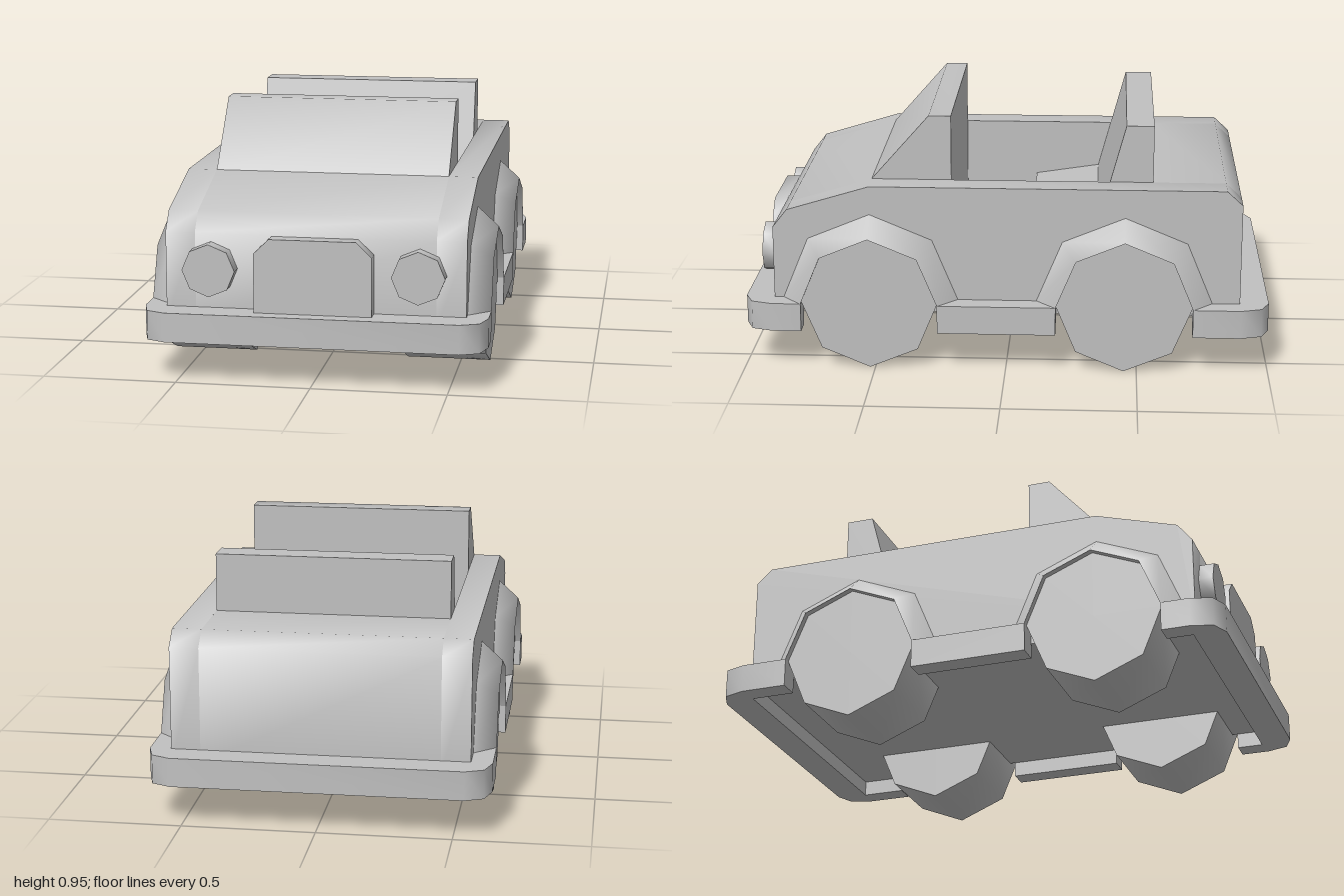
import * as THREE from 'three';
import { toCreasedNormals } from 'three/addons/utils/BufferGeometryUtils.js';

const CREASE = 0.96; // keeps right angles sharp, softens chamfers
const HALF = 0.555, INNER = 0.445; // half widths of the body and the cockpit
const BASE = 0.26; // top of the bumper rim, also the axle height
const RADIUS = 0.26;

export function createModel() {
  const car = new THREE.Group();
  car.name = 'car';
  const grey = new THREE.MeshStandardMaterial({ color: 0xc0c0c0 });
  grey.name = 'grey';

  function add(name, geometry, x = 0, y = 0, z = 0) {
    const mesh = new THREE.Mesh(toCreasedNormals(geometry, CREASE), grey);
    mesh.name = name;
    mesh.position.set(x, y, z);
    car.add(mesh);
    return mesh;
  }
  function extrude(points, depth) {
    const shape = new THREE.Shape(points.map(([a, b]) => new THREE.Vector2(a, b)));
    return new THREE.ExtrudeGeometry(shape, { depth, bevelEnabled: false });
  }
  // Side profile in (z, y), extruded across x and centred on it
  const across = (points, width) =>
    extrude(points, width).translate(0, 0, -width / 2).rotateY(-Math.PI / 2);
  // Plan outline in (x, z), extruded downwards
  const down = (points, height) => extrude(points, height).rotateX(Math.PI / 2);

  // Body: a core with the cockpit cut out, closed by two side walls
  const front = [[0.89, 0.21], [0.89, 0.54], [0.835, 0.61], [0.52, 0.705]];
  const back = [[-0.83, 0.705], [-0.89, 0.65], [-0.89, 0.21]];
  const cockpit = [[0.215, 0.705], [0.215, 0.3], [-0.555, 0.3], [-0.555, 0.705]];
  add('bodyCore', across([...front, ...cockpit, ...back], 2 * INNER));
  for (const s of [-1, 1]) {
    add('bodySide', across([...front, ...back], HALF - INNER), s * (HALF + INNER) / 2);
  }

  // Windscreen and seat
  add('windscreen', across(
    [[0.52, 0.705], [0.3, 0.955], [0.215, 0.955], [0.215, 0.705]], 2 * INNER));
  add('seat', across([[-0.555, 0.3], [-0.555, 0.925], [-0.45, 0.925], [-0.34, 0.52],
    [-0.08, 0.48], [-0.08, 0.3]], 2 * INNER));

  // Bumpers wrap around the corners up to the wheel openings
  const bumper = (end, s) => {
    const side = [[HALF, end], [0.635, end], [0.635, 0.89], [0.61, 0.97], [0.54, 1]];
    const right = side.slice().reverse().map(([x, z]) => [-x, z]);
    const outline = [...side, ...right, [-HALF, 0.88], [HALF, 0.88]];
    return down(outline.map(([x, z]) => [x, s * z]), 0.11);
  };
  add('frontBumper', bumper(0.78, 1), 0, BASE);
  add('rearBumper', bumper(0.71, -1), 0, BASE);

  // Sills, wheels and wheel arches on both sides
  for (const s of [-1, 1]) {
    add('sill', new THREE.BoxGeometry(0.08, 0.11, 0.45), s * 0.595, 0.205, 0.035);
    for (const z of [0.52, -0.45]) {
      const wheel = new THREE.CylinderGeometry(RADIUS, RADIUS, 0.315, 8).rotateZ(-Math.PI / 2);
      add('wheel', wheel, s * 0.4525, BASE, z);

      const section = [[RADIUS, 0], [0.335, 0], [RADIUS + 0.002, 0.08], [RADIUS, 0.08], [RADIUS, 0]]
        .map(([r, h]) => new THREE.Vector2(r, h));
      const arch = new THREE.LatheGeometry(section, 4, Math.PI, Math.PI).rotateZ(-Math.PI / 2);
      if (s < 0) arch.rotateY(Math.PI);
      add('wheelArch', arch, s * HALF, BASE, z);
    }
  }

  // Headlights and grille on the nose
  for (const s of [-1, 1]) {
    const lamp = new THREE.CylinderGeometry(0.098, 0.098, 0.055, 8).rotateX(Math.PI / 2);
    add('headlight', lamp, s * 0.385, 0.41, 0.9175);
  }
  add('grille', extrude([[-0.217, BASE], [0.217, BASE], [0.217, 0.48], [0.16, 0.535],
    [-0.16, 0.535], [-0.217, 0.48]], 0.055), 0, 0, 0.89);

  return car;
}
